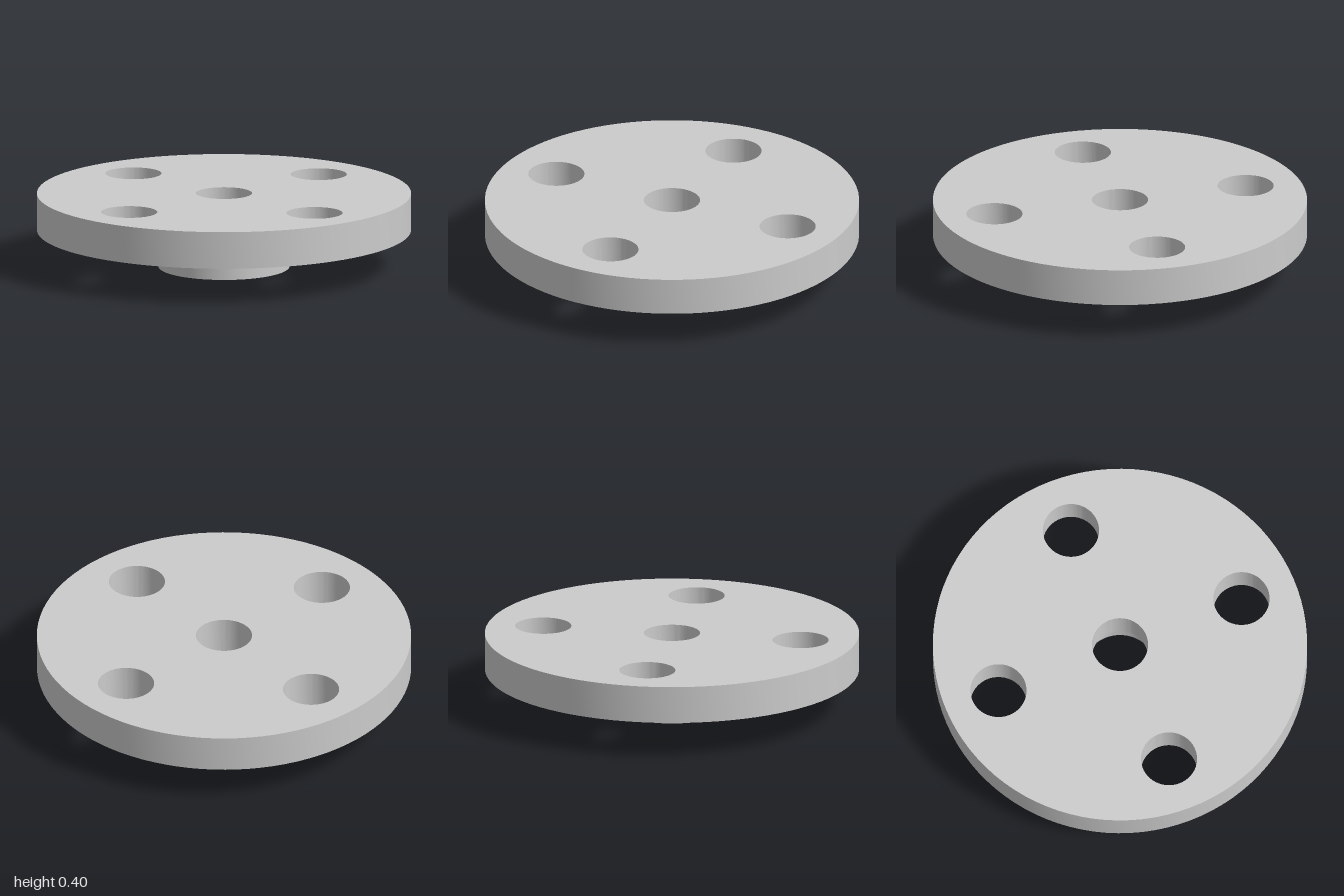
import * as THREE from 'three';
import { toCreasedNormals } from 'three/addons/utils/BufferGeometryUtils.js';

const material = new THREE.MeshStandardMaterial({ color: 0xcccccc });

function addPart(group, name, geometry) {
  const mesh = new THREE.Mesh(toCreasedNormals(geometry, Math.PI / 6), material);
  mesh.name = name;
  group.add(mesh);
  return mesh;
}

export function createModel() {
  const group = new THREE.Group();
  group.name = 'flange';

  // Round plate with a centre bore and four bolt holes
  const plate = new THREE.Shape().absarc(0, 0, 1, 0, Math.PI * 2);
  const holeRadius = 0.15, boltCircle = 0.7;
  const centres = [[0, 0]];
  for (let i = 0; i < 4; i++) {
    const a = (i * Math.PI) / 2;
    centres.push([boltCircle * Math.cos(a), boltCircle * Math.sin(a)]);
  }
  for (const [x, y] of centres) {
    plate.holes.push(new THREE.Path().absarc(x, y, holeRadius, 0, Math.PI * 2, true));
  }
  const plateGeometry = new THREE.ExtrudeGeometry(plate, {
    depth: 0.2, bevelEnabled: false, curveSegments: 48,
  });
  plateGeometry.rotateX(-Math.PI / 2).translate(0, 0.2, 0);
  addPart(group, 'plate', plateGeometry);

  // Hub ring below the plate, its bore wider than the plate's
  const profile = [[0.2, 0.2], [0.2, 0], [0.35, 0], [0.35, 0.2]]
    .map(([r, y]) => new THREE.Vector2(r, y));
  addPart(group, 'hub', new THREE.LatheGeometry(profile, 96));

  return group;
}
